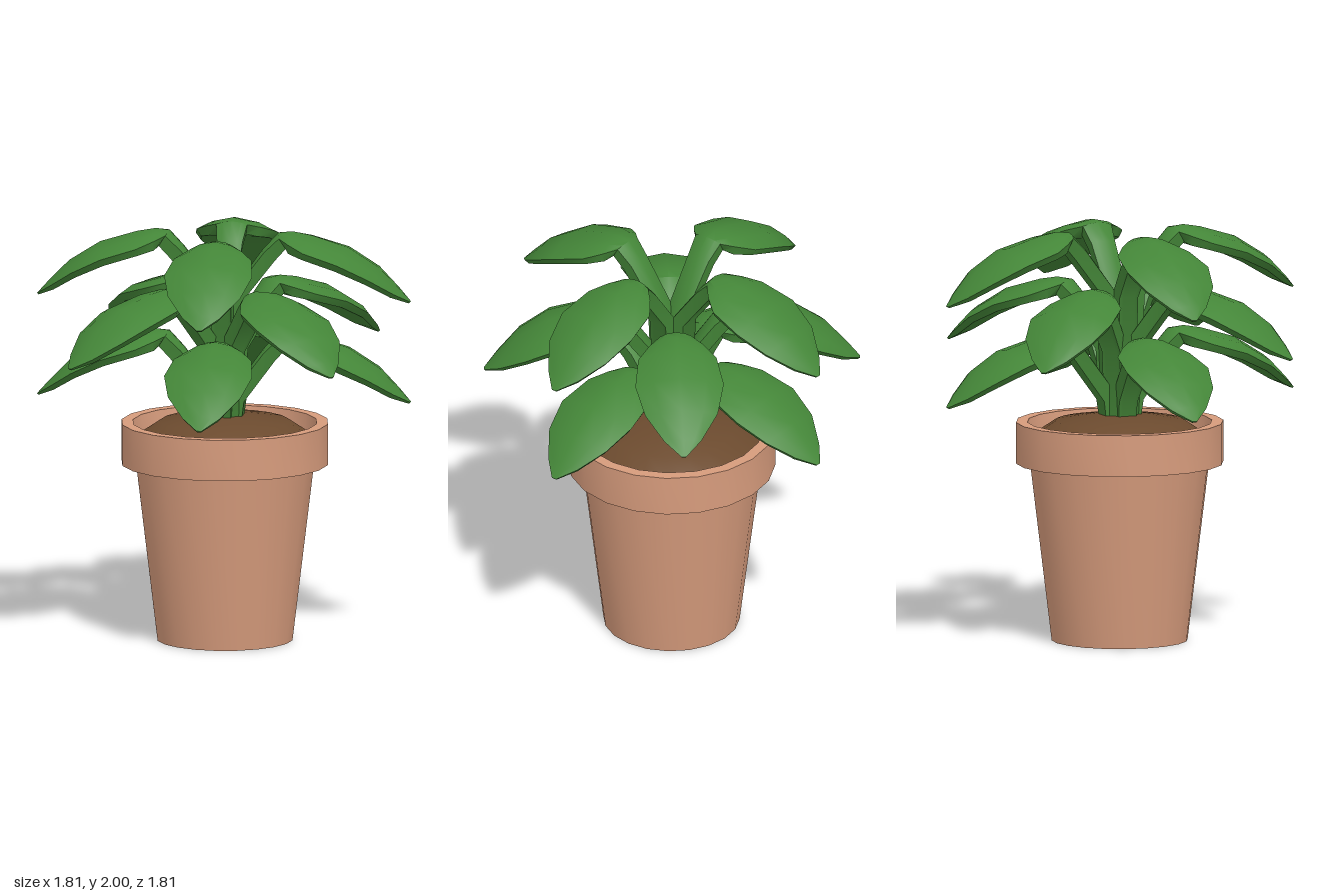
import * as THREE from 'three';
import { toCreasedNormals } from 'three/addons/utils/BufferGeometryUtils.js';

const potMat = new THREE.MeshStandardMaterial({ color: 0xd69b7c });
const soilMat = new THREE.MeshStandardMaterial({ color: 0x6b4a2e, side: THREE.DoubleSide });
const leafMat = new THREE.MeshStandardMaterial({ color: 0x448638 });

// Lathe with sharp rims and smooth round walls
function turned(name, points, material) {
  const lathe = new THREE.LatheGeometry(points.map(([r, y]) => new THREE.Vector2(r, y)), 20);
  const mesh = new THREE.Mesh(toCreasedNormals(lathe, 0.6), material);
  mesh.name = name;
  mesh.position.x = 0.004;
  return mesh;
}

// Leaf stations along the upper ridge: reach, height, half width, edge droop, edge thickness
const stations = [
  [0.03, 1.2, 0.055, 0.01, 0.07],
  [0.19, 1.42, 0.062, 0.015, 0.065],
  [0.265, 1.5, 0.075, 0.02, 0.06],
  [0.33, 1.508, 0.13, 0.045, 0.045],
  [0.42, 1.492, 0.188, 0.06, 0.035],
  [0.6, 1.437, 0.213, 0.06, 0.035],
  [0.75, 1.342, 0.175, 0.045, 0.03],
  [0.85, 1.24, 0.09, 0.02, 0.025],
  [0.905, 1.178, 0.012, 0, 0.01],
];

// Stalk and arched blade lofted in one piece, pointing along +x: domed top, flat narrower underside
function leafGeometry(lift) {
  const rows = [[0.0, 1.0, 0.045, 0.01, 0.07],
    ...stations.map(([r, y, ...rest]) => [r, y + lift, ...rest])];
  const across = [-1, -0.6, 0, 0.6, 1];
  const n = across.length * 2;
  const pos = [], index = [];
  rows.forEach(([r, y, w, droop, thick], i) => {
    const a = rows[Math.max(i - 1, 0)], b = rows[Math.min(i + 1, rows.length - 1)];
    const len = Math.hypot(b[0] - a[0], b[1] - a[1]);
    const nx = -(b[1] - a[1]) / len, ny = (b[0] - a[0]) / len;
    const put = (z, depth) => pos.push(r - nx * depth, y - ny * depth, z);
    across.forEach((t) => put(w * t, droop * t * t));
    [...across].reverse().forEach((t) => put(w * t * 0.88, droop + thick));
  });
  for (let i = 0; i < rows.length - 1; i++) {
    for (let j = 0; j < n; j++) {
      const a = i * n + j, b = i * n + (j + 1) % n;
      index.push(a, b, a + n, b, b + n, a + n);
    }
  }
  // End caps
  const last = (rows.length - 1) * n;
  for (let j = 1; j < n - 1; j++) {
    index.push(0, j + 1, j, last, last + j, last + j + 1);
  }
  const geo = new THREE.BufferGeometry();
  geo.setAttribute('position', new THREE.Float32BufferAttribute(pos, 3));
  geo.setIndex(index);
  return toCreasedNormals(geo, 0.7);
}

export function createModel() {
  const model = new THREE.Group();
  model.name = 'pottedPlant';

  // Tapered pot with a thick, hollow rim
  model.add(turned('pot', [
    [0, 0], [0.328, 0], [0.432, 0.86], [0.5, 0.86], [0.5, 1.06], [0.445, 1.06], [0.43, 0.94],
  ], potMat));

  // Mounded soil
  model.add(turned('soil', [
    [0.437, 0.98], [0.31, 1.065], [0.12, 1.095], [0, 1.1],
  ], soilMat));

  // Three tiers of four leaves, the middle one turned between the others
  const tiers = [
    ['lowerLeaves', 0, 0],
    ['middleLeaves', 0.235, THREE.MathUtils.degToRad(42.5)],
    ['upperLeaves', 0.49, 0],
  ];
  for (const [name, lift, turn] of tiers) {
    const tier = new THREE.Group();
    tier.name = name;
    const geo = leafGeometry(lift);
    for (let k = 0; k < 4; k++) {
      const leaf = new THREE.Mesh(geo, leafMat);
      leaf.name = 'leaf';
      leaf.rotation.y = turn + k * Math.PI / 2;
      tier.add(leaf);
    }
    model.add(tier);
  }
  return model;
}
